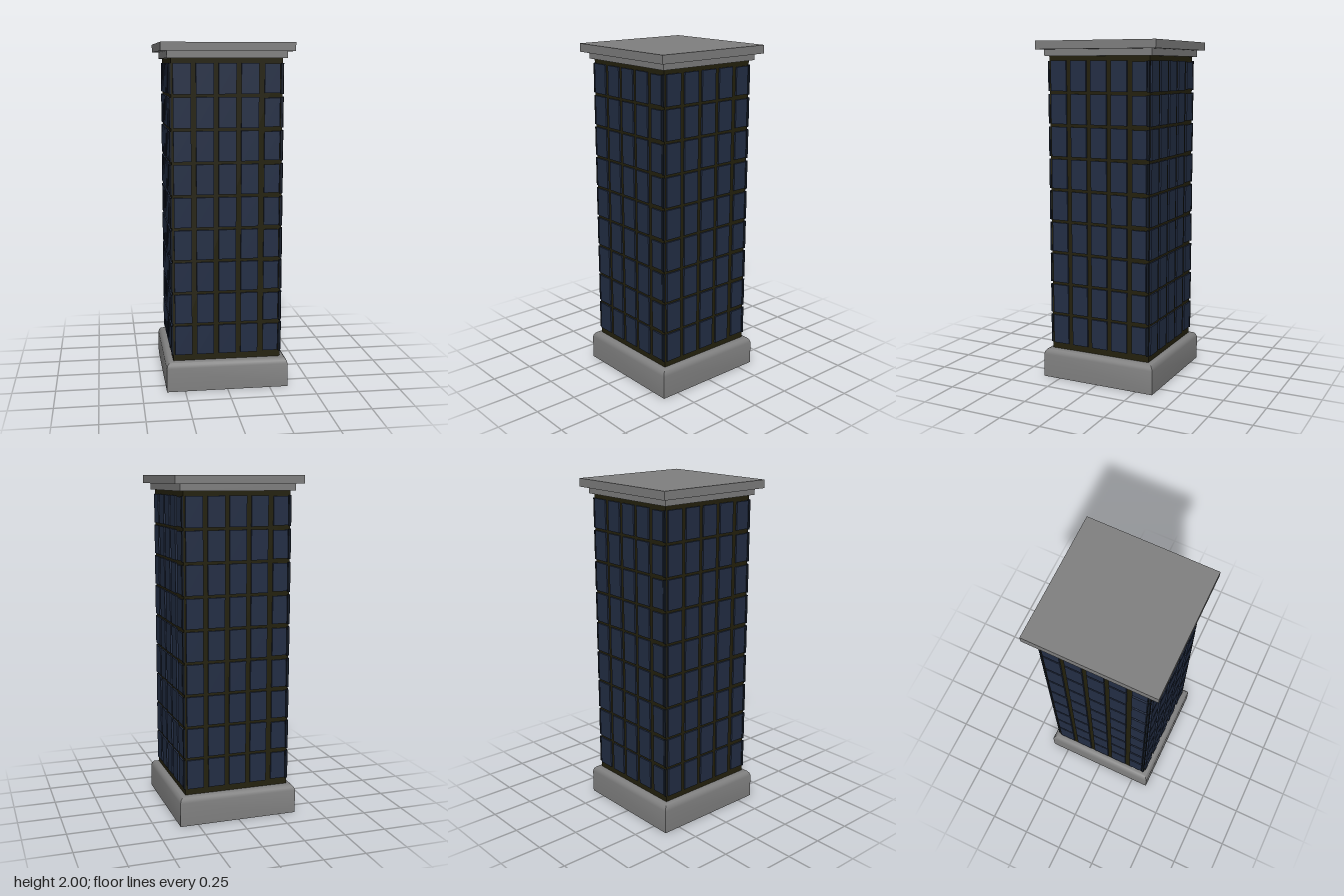
import * as THREE from 'three';
import { toCreasedNormals } from 'three/addons/utils/BufferGeometryUtils.js';

const material = (name, color) => {
  const m = new THREE.MeshStandardMaterial({ color });
  m.name = name;
  return m;
};

export function createModel() {
  const tower = new THREE.Group();
  tower.name = 'officeTower';
  const stone = material('grey stone', 0x808080);
  const frame = material('dark olive frame', 0x24210d);
  const glass = material('navy glass', 0x232e45);
  const darkGlass = material('dark corner glass', 0x141b26);

  function box(parent, name, mat, size, pos) {
    const mesh = new THREE.Mesh(new THREE.BoxGeometry(...size), mat);
    mesh.position.set(...pos);
    mesh.name = name;
    parent.add(mesh);
    return mesh;
  }

  // Square plinth with a rounded upper edge: [half width, height]
  const profile = [[0, 0], [0.357, 0], [0.357, 0.14], [0.352, 0.157],
    [0.341, 0.17], [0.327, 0.175], [0, 0.175]]
    .map(([w, y]) => new THREE.Vector2(w * Math.SQRT2, y));
  const plinth = new THREE.Mesh(
    toCreasedNormals(new THREE.LatheGeometry(profile, 4, Math.PI / 4), 0.6), stone);
  plinth.name = 'plinth';
  tower.add(plinth);

  // Shaft and stepped roof
  const half = 0.315;
  box(tower, 'shaft', frame, [half * 2, 1.745, half * 2], [0, 1.0425, 0]);
  box(tower, 'roofStep', stone, [0.674, 0.04, 0.674], [0, 1.934, 0]);
  box(tower, 'roofSlab', stone, [0.75, 0.048, 0.75], [0, 1.976, 0]);

  // Four facades of nine floors by five windows
  const depth = 0.0095;
  for (let side = 0; side < 4; side++) {
    const facade = new THREE.Group();
    facade.name = 'facade' + (side + 1);
    facade.rotation.y = side * Math.PI / 2;
    for (let floor = 0; floor < 9; floor++) {
      const y = 0.298 + floor * 0.188;
      for (let col = 0; col < 5; col++) {
        const last = col === 4;
        const size = last ? [0.088, 0.162, depth] : [0.1, 0.172, depth];
        const x = last ? 0.256 : -0.254 + col * 0.128;
        box(facade, 'window', glass, size, [x, y, half + depth / 2]);
      }
      // Narrow pane that closes the corner
      box(facade, 'cornerPane', darkGlass, [0.014, 0.172, depth], [0.311, y, half + depth / 2]);
    }
    tower.add(facade);
  }
  return tower;
}
